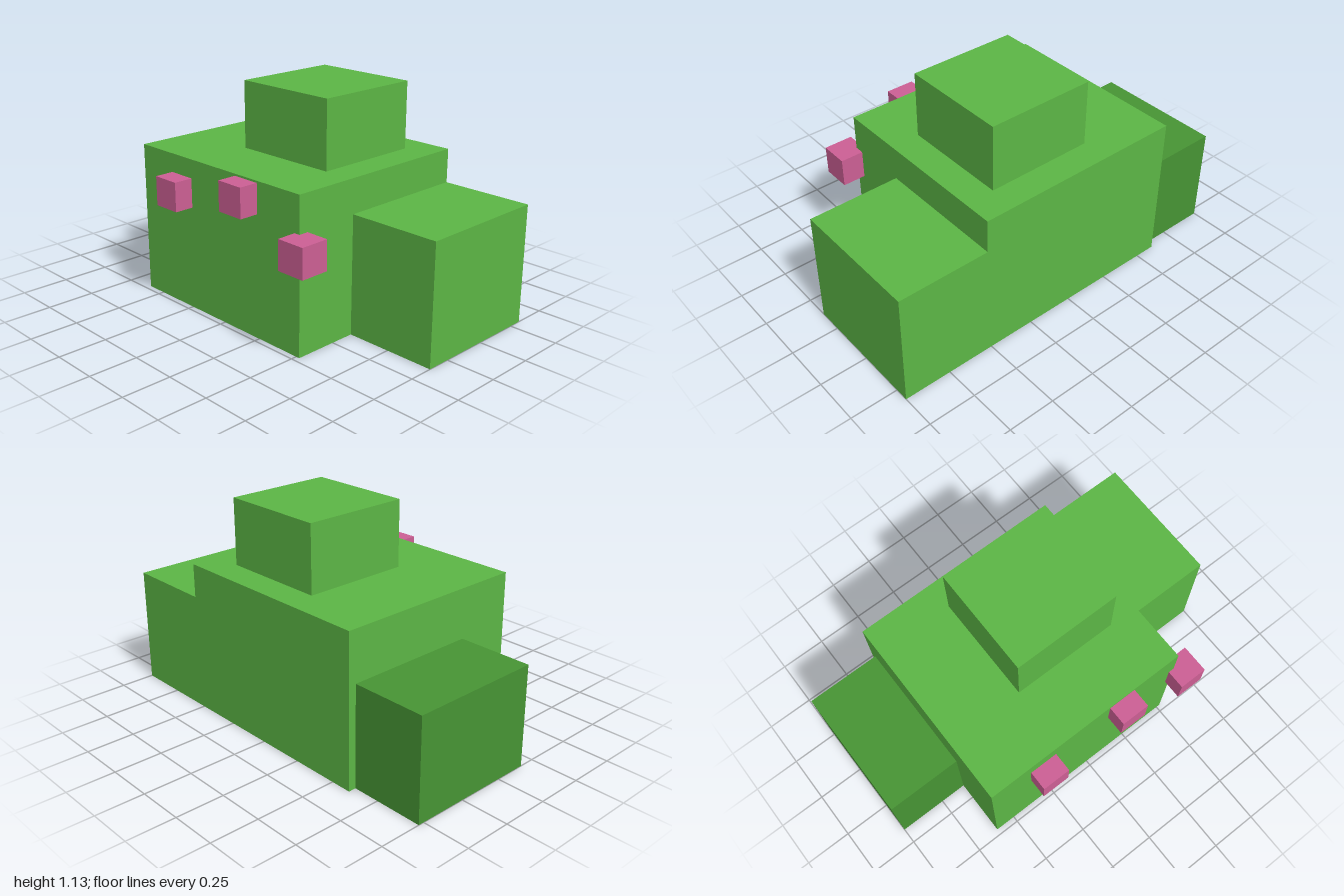
import * as THREE from 'three';

const paint = (name, color) => {
  const material = new THREE.MeshStandardMaterial({ color });
  material.name = name;
  return material;
};

// Box given by its [min, max] range along each axis
function block(name, material, [x0, x1], [y0, y1], [z0, z1]) {
  const mesh = new THREE.Mesh(new THREE.BoxGeometry(x1 - x0, y1 - y0, z1 - z0), material);
  mesh.position.set((x0 + x1) / 2, (y0 + y1) / 2, (z0 + z1) / 2);
  mesh.name = name;
  return mesh;
}

export function createModel() {
  const leaf = paint('leaf green', 0x5cb645);
  const darkLeaf = paint('dark leaf green', 0x479434);
  const pink = paint('blossom pink', 0xcc5f94);

  const bush = new THREE.Group();
  bush.name = 'bush';

  // Foliage: large middle, crown on top, one smaller clump on each side
  bush.add(
    block('mainFoliage', leaf, [-0.61, 0.52], [0, 0.785], [-0.57, 0.47]),
    block('topFoliage', leaf, [-0.2, 0.365], [0.785, 1.13], [-0.42, 0.145]),
    block('leftFoliage', leaf, [0.52, 1], [0, 0.61], [-0.57, 0.125]),
    block('rightFoliage', darkLeaf, [-1, -0.61], [0, 0.525], [-0.53, 0.167]),
  );

  // Blossoms: equal cubes half sunk into the front, the last on the corner
  const size = 0.15;
  const blossoms = new THREE.Group();
  blossoms.name = 'blossoms';
  for (const [x, y] of [[-0.305, 0.613], [0.17, 0.7], [0.565, 0.525]]) {
    const blossom = new THREE.Mesh(new THREE.BoxGeometry(size, size, size), pink);
    blossom.position.set(x, y, 0.495);
    blossom.name = 'blossom';
    blossoms.add(blossom);
  }
  bush.add(blossoms);
  return bush;
}
